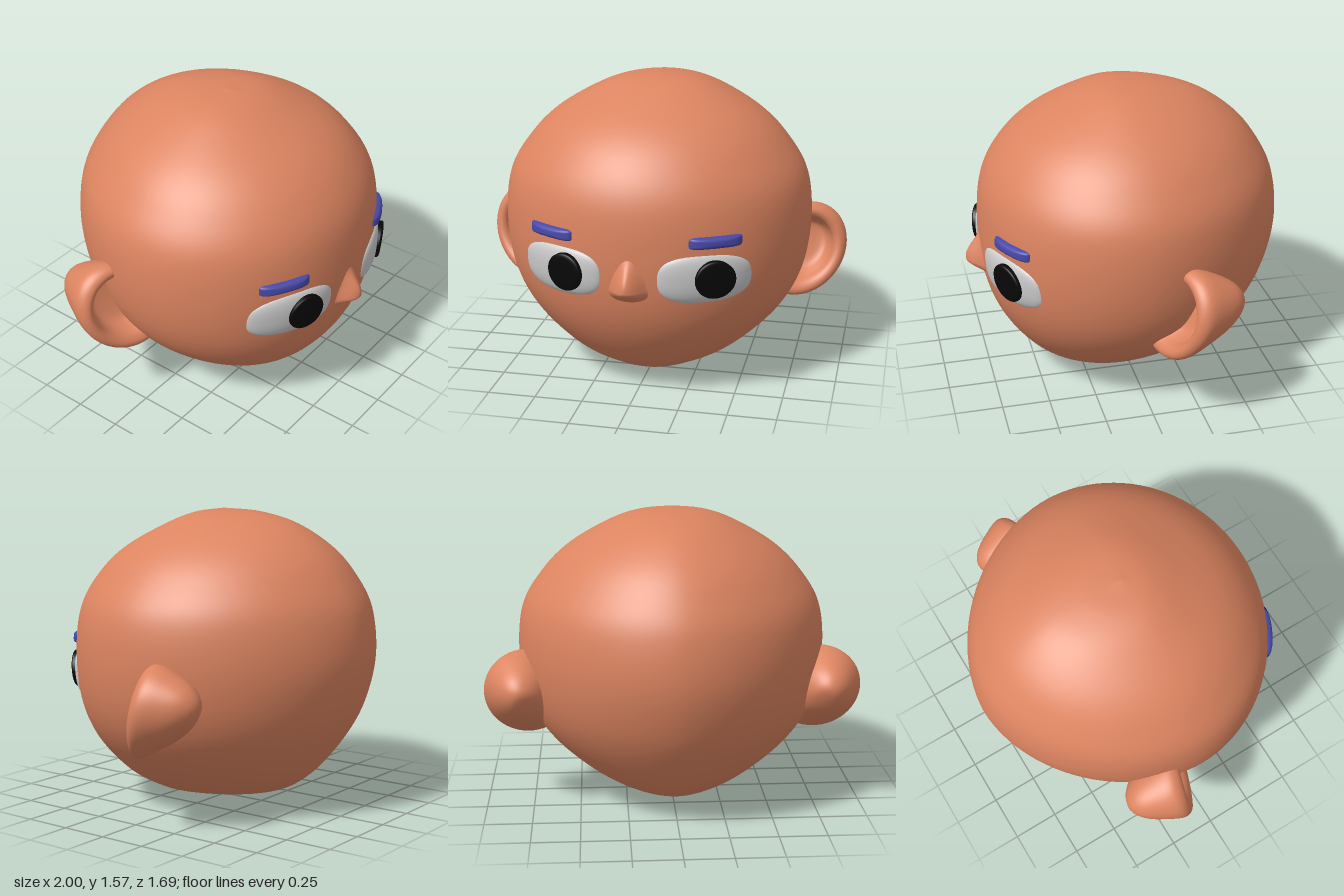
import * as THREE from 'three';
import { mergeVertices } from 'three/addons/utils/BufferGeometryUtils.js';

const mat = (color) => new THREE.MeshStandardMaterial({ color });
const skin = mat(0xdc8460), white = mat(0xf0f3f3), black = mat(0x080808), blue = mat(0x4848a8);

// Head sections, bottom to top: [y, half width, front z, back z, z of the widest point]
const sections = [
  [0, 0, 0.27, 0.25, 0.26], [0.015, 0.13, 0.30, 0.0, 0.19], [0.07, 0.29, 0.41, -0.335, 0.13],
  [0.17, 0.475, 0.55, -0.52, 0.09], [0.35, 0.67, 0.68, -0.675, 0.05], [0.55, 0.78, 0.75, -0.785, 0.03],
  [0.8, 0.82, 0.77, -0.845, 0.02], [1.05, 0.795, 0.745, -0.82, 0.01], [1.23, 0.69, 0.655, -0.73, 0],
  [1.37, 0.55, 0.51, -0.61, 0], [1.49, 0.35, 0.29, -0.43, 0], [1.55, 0.19, 0.14, -0.22, 0],
  [1.57, 0, 0.01, -0.01, 0],
];
const curveA = new THREE.CatmullRomCurve3(sections.map(([y, w, , , c]) => new THREE.Vector3(w, y, c)), false, 'catmullrom', 0.5);
const curveB = new THREE.CatmullRomCurve3(sections.map(([y, , f, b]) => new THREE.Vector3(f, y, b)), false, 'catmullrom', 0.5);

function section(t) {
  const a = curveA.getPoint(t), b = curveB.getPoint(t);
  return { y: a.y, w: Math.max(a.x, 0), mid: a.z, front: b.x, back: b.z };
}

// Point on the front of the head at (x, y), pushed outward by h
function onFace(x, y, h) {
  let lo = 0, hi = 1;
  for (let i = 0; i < 22; i++) {
    const m = (lo + hi) / 2;
    if (curveA.getPoint(m).y < y) lo = m; else hi = m;
  }
  const s = section(lo);
  const z = s.mid + (s.front - s.mid) * Math.sqrt(Math.max(0, 1 - (x / s.w) ** 2));
  const n = new THREE.Vector3(x, 0, z).normalize();
  return [x + n.x * h, y, z + n.z * h];
}

// Smooth surface from a rule: u runs round a closed loop, v runs across the loops
function surface(nu, nv, rule) {
  const pos = [], index = [];
  for (let j = 0; j <= nv; j++)
    for (let i = 0; i < nu; i++) pos.push(...rule((i / nu) * Math.PI * 2, j / nv));
  for (let j = 0; j < nv; j++)
    for (let i = 0; i < nu; i++) {
      const a = j * nu + i, b = j * nu + ((i + 1) % nu);
      index.push(a, b, b + nu, a, b + nu, a + nu);
    }
  const g = new THREE.BufferGeometry();
  g.setAttribute('position', new THREE.Float32BufferAttribute(pos, 3));
  g.setIndex(index);
  g.computeVertexNormals();
  return g;
}

const spow = (v, p) => Math.sign(v) * Math.abs(v) ** p;

function headGeometry() {
  return surface(96, 96, (u, v) => {
    const s = section(v), c = Math.cos(u);
    const p = c < 0 ? 1.09 : 1;
    const z = c < 0 ? s.mid + (s.mid - s.back) * spow(c, p) : s.mid + (s.front - s.mid) * c;
    return [s.w * spow(Math.sin(u), p), s.y, z];
  });
}

// Rounded pad lying on the face: n squares the outline, p squares the edge
function padGeometry(cx, cy, rx, ry, base, height, n, p) {
  return surface(48, 14, (u, v) => {
    const r = Math.cos((v * Math.PI) / 2);
    const h = base + height * Math.max(0, 1 - r ** p) ** (1 / p);
    return onFace(cx + rx * r * spow(Math.cos(u), 2 / n), cy + ry * r * spow(Math.sin(u), 2 / n), h);
  });
}

// Nose: a soft cone, wider at the bottom
function noseGeometry() {
  return surface(40, 20, (u, v) => {
    const r = 1 - v, s = Math.sin(u);
    const x = 0.11 * r * Math.cos(u) * (1 - 0.35 * s);
    const y = 0.64 + r * s * (s > 0 ? 0.17 : 0.085);
    return onFace(x, y, -0.006 + 0.088 * Math.cos((r * Math.PI) / 2) ** 1.7);
  });
}

// Ear: a turned cup, stretched, then leaned back toward its outer edge
function earGeometry() {
  const profile = new THREE.SplineCurve([
    [0, -0.29], [0.3, -0.275], [0.6, -0.2], [0.85, -0.09], [0.99, -0.01], [0.97, 0.03], [0.86, 0.045],
    [0.72, 0.025], [0.6, -0.03], [0.42, -0.08], [0, -0.09],
  ].map(([r, d]) => new THREE.Vector2(r, d))).getPoints(50);
  profile.forEach((q) => { q.x = Math.max(q.x, 0); });
  let g = new THREE.LatheGeometry(profile, 56);
  g.rotateX(Math.PI / 2);
  g.deleteAttribute('uv');
  g.deleteAttribute('normal');
  g = mergeVertices(g, 1e-5);
  const pos = g.attributes.position;
  for (let i = 0; i < pos.count; i++) {
    const a = pos.getX(i), b = pos.getY(i), d = pos.getZ(i);
    const x = 0.77 + 0.23 * a + 0.02 * b, y = 0.605 + 0.245 * b;
    const z = -0.13 - 0.35 * (x - 0.8) - 0.25 * (y - 0.6) + d * (1 + 0.25 * b);
    pos.setXYZ(i, x, y, z);
  }
  g.computeVertexNormals();
  return g;
}

export function createModel() {
  const model = new THREE.Group();
  model.name = 'head';
  const add = (name, geometry, material) => {
    const m = new THREE.Mesh(geometry, material);
    m.name = name;
    model.add(m);
    return m;
  };

  add('skull', headGeometry(), skin);
  add('nose', noseGeometry(), skin);

  const ear = earGeometry();
  for (const [side, s] of [['left', 1], ['right', -1]]) {
    add(side + 'Ear', ear, skin).scale.x = s;
    add(side + 'EyeWhite', padGeometry(s * 0.362, 0.688, 0.222, 0.128, -0.01, 0.036, 2.7, 2.4), white);
    // Both pupils glance the same way
    add(side + 'Pupil', padGeometry(s * 0.362 + 0.045, 0.692, 0.09, 0.1, 0.012, 0.032, 2, 8), black);
    add(side + 'Eyebrow', padGeometry(s * 0.415, 0.878, 0.124, 0.031, -0.02, 0.05, 6, 3), blue);
  }
  return model;
}
